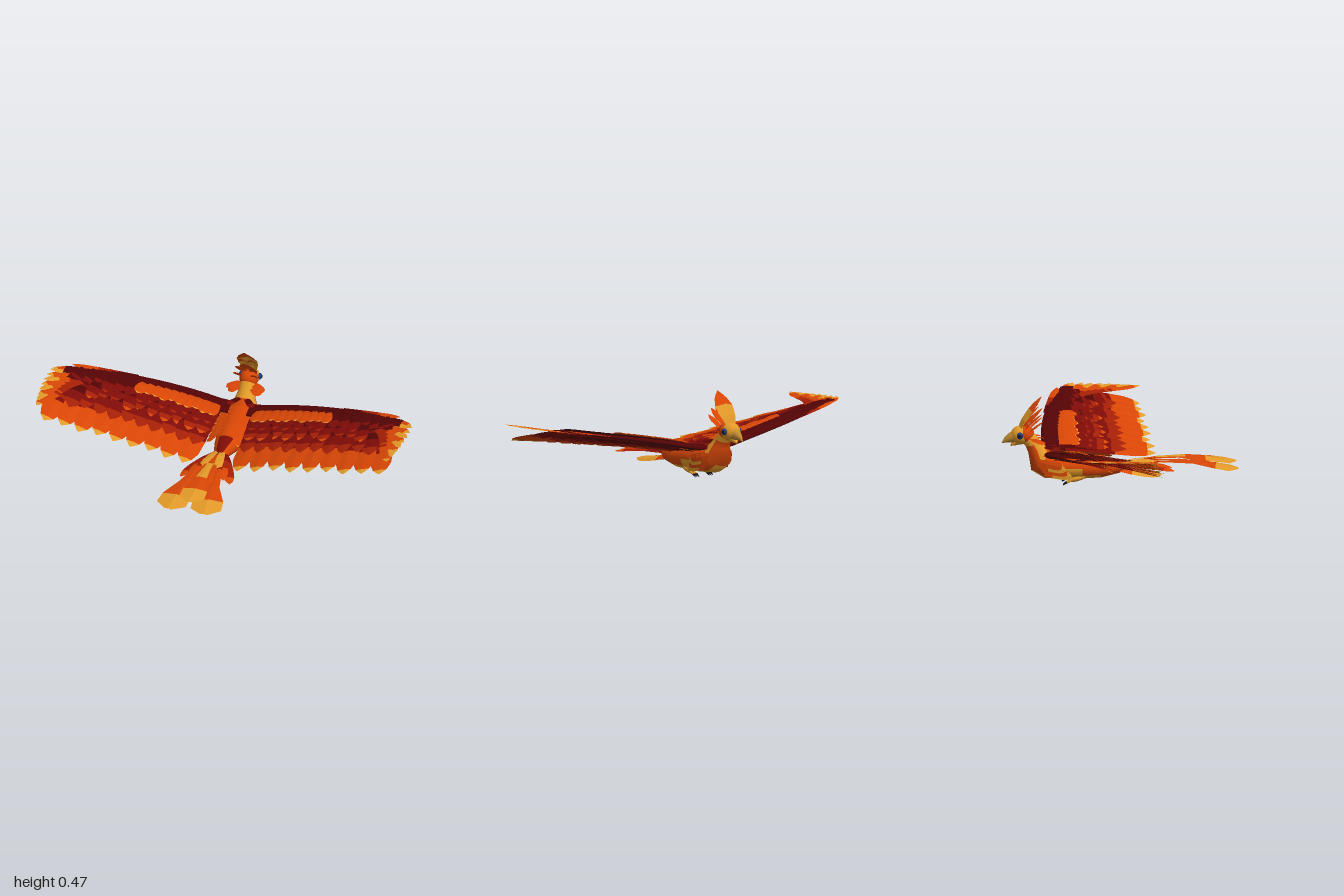
import * as THREE from 'three';

const V = (x, y, z) => new THREE.Vector3(x, y, z);
const lerp = THREE.MathUtils.lerp;

// One material per colour; feathers are thin, so both sides show
const COLOURS = {
  m: ['maroon', 0x540405], d: ['darkRed', 0x7e0b07], r: ['red', 0xa41f06],
  o: ['orange', 0xd84606], a: ['amber', 0xe39a28], h: ['horn', 0xc08c30],
  b: ['blue', 0x223a78], k: ['black', 0x14121a],
};

export function createModel() {
  const root = new THREE.Group();
  root.name = 'fireBird';
  const mats = {};
  for (const [key, [name, color]] of Object.entries(COLOURS)) {
    mats[key] = new THREE.MeshStandardMaterial({ color, side: THREE.DoubleSide });
    mats[key].name = name;
  }

  // Mesh whose index is split into one group per colour
  function colouredMesh(name, positions, faces) {
    const geo = new THREE.BufferGeometry();
    geo.setAttribute('position', new THREE.Float32BufferAttribute(positions, 3));
    const index = [], list = [];
    for (const [key, tris] of Object.entries(faces)) {
      geo.addGroup(index.length, tris.length, list.length);
      list.push(mats[key]);
      for (const i of tris) index.push(i);
    }
    geo.setIndex(index);
    geo.computeVertexNormals();
    const mesh = new THREE.Mesh(geo, list);
    mesh.name = name;
    root.add(mesh);
    return mesh;
  }

  // Smooth tube skin over closed rings of points; colour(j, i) picks each quad
  function skin(name, rings, colour) {
    const n = rings[0].length, pos = [], faces = {};
    rings.forEach(r => r.forEach(p => pos.push(p.x, p.y, p.z)));
    for (let j = 0; j < rings.length - 1; j++) for (let i = 0; i < n; i++) {
      const a = j * n + i, b = j * n + (i + 1) % n, c = b + n, d = a + n;
      (faces[colour(j, i)] ??= []).push(a, d, c, a, c, b);
    }
    return colouredMesh(name, pos, faces);
  }

  // Elliptical ring in a plane tilted about x
  const ring = ([z, y, rx, ry, t], n = 20) => Array.from({ length: n }, (_, i) => {
    const a = i / n * Math.PI * 2, v = Math.sin(a) * ry;
    return V(Math.cos(a) * rx, y + v * Math.cos(t), z + v * Math.sin(t));
  });

  // Feathers: five colour bands along a ridged, arched blade
  const STEPS = [0, 0.3, 0.6, 0.8, 0.92, 1];
  const BLADE = [0.7, 0.9, 1, 0.95, 0.62, 0.06];
  const TEARDROP = [0.35, 0.8, 1, 0.7, 0.35, 0.05];
  const PADDLE = [0.2, 0.2, 0.45, 0.97, 1, 0.25];
  function featherSet(name, list) {
    const pos = [], faces = {};
    for (const { base, tip, w, bands, arch = 0, fold = 0.12, up = V(0, 1, 0), shape = BLADE } of list) {
      const side = tip.clone().sub(base).cross(up).normalize();
      const rows = STEPS.map((t, k) => {
        const c = base.clone().lerp(tip, t).addScaledVector(up, arch * 4 * t * (1 - t));
        const edge = s => c.clone().addScaledVector(side, s * w * shape[k]).addScaledVector(up, -w * shape[k] * fold);
        return [edge(-1), c, edge(1)];
      });
      for (let k = 0; k < 5; k++) for (let e = 0; e < 2; e++) {
        const i = pos.length / 3;
        for (const p of [rows[k][e], rows[k][e + 1], rows[k + 1][e + 1], rows[k + 1][e]]) pos.push(p.x, p.y, p.z);
        (faces[bands[k]] ??= []).push(i, i + 1, i + 2, i, i + 2, i + 3);
      }
    }
    return colouredMesh(name, pos, faces);
  }

  function ball(name, key, p, sx, sy, sz) {
    const mesh = new THREE.Mesh(new THREE.SphereGeometry(1, 20, 14), mats[key]);
    mesh.name = name;
    mesh.position.copy(p);
    mesh.scale.set(sx, sy, sz);
    root.add(mesh);
    return mesh;
  }

  // Body and neck: z, y, half width, half height, tilt
  const bodyRings = [
    [0.06, 0.1, 0.01, 0.01, 0], [0, 0.088, 0.04, 0.036, 0], [-0.1, 0.084, 0.065, 0.055, 0],
    [-0.2, 0.09, 0.08, 0.065, 0], [-0.3, 0.095, 0.09, 0.07, 0], [-0.38, 0.1, 0.09, 0.07, 0.25],
    [-0.415, 0.125, 0.08, 0.072, 0.75], [-0.435, 0.185, 0.052, 0.048, 1.2],
    [-0.455, 0.215, 0.044, 0.041, 1.2], [-0.49, 0.26, 0.04, 0.04, 1],
  ];
  skin('body', bodyRings.map(r => ring(r)), (j, i) => {
    if (j >= 8) return 'a';
    if (j >= 6) return i < 10 && (j === 7 || i < 3 || i > 6) ? 'a' : 'o';
    if (j < 2) return i > 2 && i < 7 ? 'd' : 'o';
    if (j < 4) return j === 3 && i >= 10 || i >= 12 && i < 18 ? 'a' : 'o';
    return i >= 13 && i < 17 ? 'a' : 'o';
  });

  // Head, nape, beak and eyes
  ball('head', 'a', V(0, 0.262, -0.518), 0.05, 0.05, 0.055);
  ball('nape', 'o', V(0, 0.266, -0.495), 0.051, 0.048, 0.047);
  const beak = [[-0.545, 0.252, 0.036, 0.038, -0.4], [-0.575, 0.245, 0.024, 0.026, -0.5],
    [-0.6, 0.234, 0.012, 0.014, -0.6], [-0.62, 0.219, 0.001, 0.001, -0.7]];
  skin('upperBeak', beak.map(r => ring(r, 12)), () => 'h');
  const jaw = [[-0.535, 0.228, 0.026, 0.02, -0.5], [-0.56, 0.214, 0.014, 0.012, -0.7], [-0.574, 0.204, 0.001, 0.001, -0.8]];
  skin('lowerBeak', jaw.map(r => ring(r, 12)), () => 'a');
  for (const s of [1, -1]) {
    ball('eye', 'b', V(0.048 * s, 0.266, -0.526), 0.014, 0.018, 0.017);
    ball('pupil', 'k', V(0.058 * s, 0.266, -0.528), 0.006, 0.009, 0.009);
  }

  // Crest sweeping back from the crown
  const crestStyle = { up: V(0, 0.6, -0.8), shape: TEARDROP, fold: 0.35 };
  const crest = [
    { base: V(0, 0.285, -0.54), tip: V(0, 0.467, -0.41), w: 0.058, arch: 0.02, bands: 'aaooo' },
    { base: V(0, 0.29, -0.52), tip: V(0, 0.405, -0.405), w: 0.04, arch: 0.012, bands: 'ooooo' },
  ];
  for (const s of [1, -1]) crest.push(
    { base: V(0.015 * s, 0.285, -0.53), tip: V(0.03 * s, 0.42, -0.425), w: 0.03, arch: 0.018, bands: 'aaooo' },
    { base: V(0.02 * s, 0.28, -0.51), tip: V(0.045 * s, 0.38, -0.41), w: 0.024, arch: 0.012, bands: 'ooooo' },
    { base: V(0.03 * s, 0.27, -0.49), tip: V(0.055 * s, 0.345, -0.4), w: 0.02, arch: 0.008, bands: 'ooooo' });
  featherSet('crest', crest.map(f => ({ ...crestStyle, ...f })));

  // Wing surface: leading edge depth and height along the span
  const U = x => Math.max(0, (x - 0.1) / 0.82);
  const edgeZ = x => -0.4 + 0.15 * U(x) ** 2.2;
  const wingY = x => 0.165 + 0.15 * U(x) ** 0.88;

  // A row of overlapping flight feathers or coverts, banked with the wing
  function wingRow(s, count, x0, x1, { start, tipZ, sweep, lift, drop, w, bands }) {
    return Array.from({ length: count }, (_, k) => {
      const f = k / (count - 1), x = lerp(x0, x1, f), xt = x + sweep * f, y = wingY(x) + lift;
      const wave = 0.01 * Math.sin(k * 2.3);
      return {
        base: V(s * x, y, edgeZ(x) + start), tip: V(s * xt, y - drop * (1 + 0.5 * f), tipZ(f) + wave),
        w, bands, arch: 0.008, up: V(-s * 0.26, 0.96, 0), fold: 0.08,
      };
    });
  }

  for (const s of [1, -1]) {
    const side = s > 0 ? 'left' : 'right';
    // Leading arm of the wing
    const arm = Array.from({ length: 13 }, (_, k) => {
      const x = lerp(0.05, 0.925, k / 12), w = lerp(0.06, 0.035, k / 12), h = lerp(0.018, 0.004, k / 12);
      return Array.from({ length: 12 }, (_, i) => {
        const a = -s * i / 12 * Math.PI * 2;
        return V(s * x, wingY(x) + h * Math.sin(a), edgeZ(x) + w + w * Math.cos(a));
      });
    });
    skin(side + 'WingArm', arm, () => 'm');
    featherSet(side + 'Secondaries', wingRow(s, 9, 0.15, 0.85,
      { start: 0.06, tipZ: f => 0.2 - 0.03 * f, sweep: 0.07, lift: -0.006, drop: 0.05, w: 0.06, bands: 'ddooa' }));
    featherSet(side + 'UnderCoverts', wingRow(s, 10, 0.14, 0.82,
      { start: 0.05, tipZ: f => -0.07 - 0.02 * f, sweep: 0.06, lift: -0.018, drop: 0.03, w: 0.05, bands: 'mdroo' }));
    featherSet(side + 'GreaterCoverts', wingRow(s, 11, 0.14, 0.84,
      { start: 0.05, tipZ: f => 0.045 - 0.02 * f, sweep: 0.06, lift: 0.006, drop: 0.034, w: 0.048, bands: 'mmdrr' }));
    featherSet(side + 'MiddleCoverts', wingRow(s, 12, 0.13, 0.83,
      { start: 0.05, tipZ: f => -0.05 - 0.02 * f, sweep: 0.05, lift: 0.012, drop: 0.024, w: 0.043, bands: 'mmdro' }));
    featherSet(side + 'LesserCoverts', wingRow(s, 13, 0.12, 0.82,
      { start: 0.04, tipZ: f => -0.135 - 0.01 * f, sweep: 0.05, lift: 0.017, drop: 0.014, w: 0.038, bands: 'mmddr' }));
    featherSet(side + 'ShoulderCoverts', wingRow(s, 10, 0.12, 0.5,
      { start: 0.09, tipZ: () => -0.2, sweep: 0.02, lift: 0.022, drop: 0.006, w: 0.032, bands: 'ooooa' }));

    // Primaries fanning round the wing tip, led by two along the front edge
    const primaries = Array.from({ length: 8 }, (_, k) => {
      const f = k / 7, x = lerp(0.58, 0.84, f);
      return {
        base: V(s * x, wingY(x) + 0.004 - 0.002 * k, edgeZ(x) + lerp(0.02, 0.06, f)),
        tip: V(s * (0.955 + 0.043 * Math.sin(Math.PI * (0.35 + 0.6 * f))), 0.322 - 0.012 * f, lerp(-0.18, 0.17, f)),
        w: 0.036, bands: k % 2 ? 'mrooa' : 'mroaa', arch: 0.004, up: V(-s * 0.12, 0.99, 0),
      };
    });
    primaries.push(
      { base: V(s * 0.56, wingY(0.56) + 0.004, -0.348), tip: V(s * 0.9, 0.318, -0.268), w: 0.024, bands: 'mrooo' },
      { base: V(s * 0.7, wingY(0.7) + 0.006, -0.32), tip: V(s * 0.985, 0.322, -0.2), w: 0.026, bands: 'rrooa' });
    featherSet(side + 'Primaries', primaries);

    // Small feathers over the back, flank, chest and neck
    const plumage = [], out = V(s, 0, 0);
    for (let k = 0; k < 8; k++) {
      const z = -0.4 + 0.04 * k, x = 0.085 - 0.002 * k;
      plumage.push({ base: V(s * (x - 0.03), 0.165 - 0.002 * k, z), tip: V(s * (x + 0.015), 0.15 - 0.004 * k, z + 0.085), w: 0.024, bands: 'ooooa', arch: 0.005, up: V(s * 0.4, 0.9, 0) });
    }
    for (let k = 0; k < 4; k++) plumage.push(
      { base: V(s * 0.08, 0.13 - 0.02 * k, -0.43 + 0.01 * k), tip: V(s * (0.1 - 0.006 * k), 0.105 - 0.018 * k, -0.3 + 0.015 * k), w: 0.022, up: out, arch: 0.008, bands: k % 2 ? 'oaaaa' : 'ooooa' });
    for (let k = 0; k < 2; k++) plumage.push(
      { base: V(s * 0.03, 0.248 - 0.012 * k, -0.475 + 0.02 * k), tip: V(s * (0.1 - 0.015 * k), 0.238 - 0.012 * k, -0.415 + 0.015 * k), w: 0.027, arch: 0.006, up: V(s * 0.3, 0.9, 0.3), bands: 'ooooo' });
    plumage.push({ base: V(s * 0.015, 0.2, -0.4), tip: V(s * 0.07, 0.19, -0.33), w: 0.02, bands: 'mmddd' });
    featherSet(side + 'Plumage', plumage);

    // Tucked legs and claws
    const thigh = ball(side + 'Leg', 'a', V(0.045 * s, 0.035, -0.225), 0.018, 0.016, 0.05);
    thigh.rotation.x = -0.25;
    for (let k = -1; k <= 1; k++) {
      const claw = [[-0.255, 0.026, 0.006, 0.006, -0.3], [-0.28, 0.015, 0.005, 0.005, -0.5], [-0.3, 0.001, 0.001, 0.001, -0.7]];
      const mesh = skin(side + 'Claw', claw.map(r => ring(r, 8)), j => (j ? 'k' : 'a'));
      mesh.position.x = s * 0.047 + k * 0.012;
    }
  }

  // Tail: long paddle plumes, side feathers and coverts
  const plumes = [{ base: V(0, 0.105, 0.03), tip: V(0, 0.112, 0.555), w: 0.068, arch: 0.036, shape: PADDLE, bands: 'oaoaa' }];
  const coverts = [];
  for (const s of [1, -1]) {
    plumes.push(
      { base: V(0.035 * s, 0.1, 0.03), tip: V(0.1 * s, 0.09, 0.618), w: 0.082, arch: 0.03, shape: PADDLE, bands: 'rooaa' },
      { base: V(0.015 * s, 0.1, 0.03), tip: V(0.045 * s, 0.1, 0.5), w: 0.045, arch: 0.028, shape: PADDLE, bands: 'roooo' });
    coverts.push(
      { base: V(0.025 * s, 0.1, 0.02), tip: V(0.135 * s, 0.085, 0.28), w: 0.032, arch: 0.012, bands: 'drroo', up: V(s * 0.15, 0.99, 0) },
      { base: V(0.02 * s, 0.102, 0.02), tip: V(0.095 * s, 0.095, 0.27), w: 0.026, arch: 0.015, bands: 'drooo', up: V(s * 0.15, 0.99, 0) },
      { base: V(0.015 * s, 0.112, 0.02), tip: V(0.045 * s, 0.118, 0.21), w: 0.022, arch: 0.01, bands: 'aaaaa', up: V(s * 0.15, 0.99, 0) },
      { base: V(0.02 * s, 0.075, 0), tip: V(0.035 * s, 0.045, 0.22), w: 0.026, arch: -0.005, bands: 'oaaaa', up: V(s * 0.5, 0.86, 0) });
  }
  featherSet('tailPlumes', plumes);
  featherSet('tailCoverts', coverts);
  return root;
}
